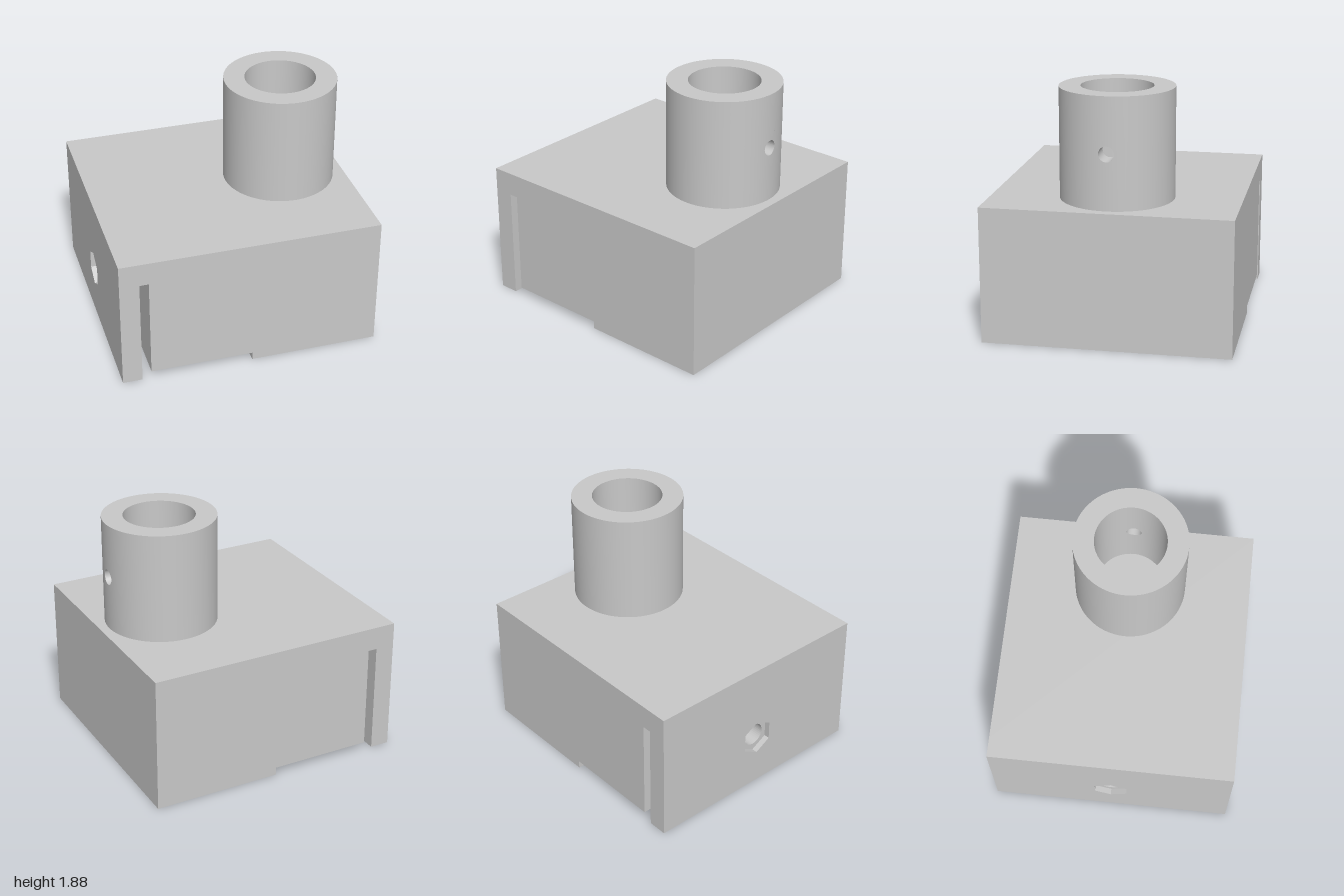
import * as THREE from 'three';
import { ParametricGeometry } from 'three/addons/geometries/ParametricGeometry.js';

const BASE_TOP = 1.04, TOP = 1.88, HALF_DEPTH = 0.935;
const TUBE_X = 0.5, OUTER = 0.43, INNER = 0.27;
const HOLE_Y = 1.46, HOLE_R = 0.058, PATCH = 0.12;

export function createModel() {
  const group = new THREE.Group();
  const grey = new THREE.MeshStandardMaterial({ color: 0xc8c8c8, side: THREE.DoubleSide });

  const add = (name, geometry, x = 0, y = 0, z = 0) => {
    const mesh = new THREE.Mesh(geometry, grey);
    mesh.name = name;
    mesh.position.set(x, y, z);
    group.add(mesh);
    return mesh;
  };

  // Main block with the slot side and the shallow step underneath
  const profile = new THREE.Shape([
    [-0.85, BASE_TOP], [-0.85, 0.86], [-0.78, 0.86], [-0.78, 0.06],
    [0.01, 0.06], [0.01, 0], [1, 0], [1, BASE_TOP],
  ].map(([x, y]) => new THREE.Vector2(x, y)));
  add('mainBlock', new THREE.ExtrudeGeometry(profile, { depth: 2 * HALF_DEPTH, bevelEnabled: false }), 0, 0, -HALF_DEPTH);

  // Clamp wall in two layers: bolt hole inside, hexagonal nut recess outside
  const wallLayer = (name, sides, radius, startX, depth) => {
    const shape = new THREE.Shape([
      new THREE.Vector2(-HALF_DEPTH, 0), new THREE.Vector2(HALF_DEPTH, 0),
      new THREE.Vector2(HALF_DEPTH, BASE_TOP), new THREE.Vector2(-HALF_DEPTH, BASE_TOP),
    ]);
    const points = [];
    for (let i = 0; i < sides; i++) {
      const a = Math.PI / 2 - (i / sides) * Math.PI * 2;
      points.push(new THREE.Vector2(radius * Math.cos(a), 0.415 + radius * Math.sin(a)));
    }
    shape.holes.push(new THREE.Path(points));
    add(name, new THREE.ExtrudeGeometry(shape, { depth, bevelEnabled: false }), startX).rotation.y = -Math.PI / 2;
  };
  wallLayer('clampWallBoltHole', 40, 0.09, -0.85, 0.105);
  wallLayer('clampWallNutRecess', 6, 0.145, -0.955, 0.045);

  // Tube walls, leaving a small window around the set screw hole
  const tubeWall = (name, radius) => {
    const w = Math.PI / 10;
    const arc = (part, y0, y1, segments, start, length) => add(name + part,
      new THREE.CylinderGeometry(radius, radius, y1 - y0, segments, 1, true, start, length),
      TUBE_X, (y0 + y1) / 2);
    arc('Main', BASE_TOP, TOP, 72, Math.PI / 2 + w, Math.PI * 2 - 2 * w);
    arc('Above', HOLE_Y + PATCH, TOP, 12, Math.PI / 2 - w, 2 * w);
    arc('Below', BASE_TOP, HOLE_Y - PATCH, 12, Math.PI / 2 - w, 2 * w);

    // Curved patch blending from the round hole to the window edge
    const patch = (u, v, target) => {
      const a = u * Math.PI * 2, c = Math.cos(a), s = Math.sin(a);
      const m = Math.max(Math.abs(c), Math.abs(s));
      const holeAngle = Math.asin(HOLE_R * c / radius);
      const angle = THREE.MathUtils.lerp(holeAngle, w * c / m, v);
      const y = THREE.MathUtils.lerp(HOLE_R * s, PATCH * s / m, v);
      target.set(radius * Math.cos(angle), HOLE_Y + y, -radius * Math.sin(angle));
    };
    add(name + 'HoleSurround', new ParametricGeometry(patch, 48, 6), TUBE_X);
  };
  tubeWall('tubeOuter', OUTER);
  tubeWall('tubeBore', INNER);

  // Set screw hole lining between the two walls
  const lining = (u, v, target) => {
    const a = u * Math.PI * 2, z = -HOLE_R * Math.cos(a);
    const r = v < 0.5 ? INNER : OUTER;
    target.set(Math.sqrt(r * r - z * z), HOLE_Y + HOLE_R * Math.sin(a), z);
  };
  const liningGeometry = new ParametricGeometry(lining, 48, 1);
  liningGeometry.computeVertexNormals();
  add('setScrewHole', liningGeometry, TUBE_X);

  // Flat rim on top of the tube
  add('tubeRim', new THREE.RingGeometry(INNER, OUTER, 80), TUBE_X, TOP).rotation.x = -Math.PI / 2;

  return group;
}
